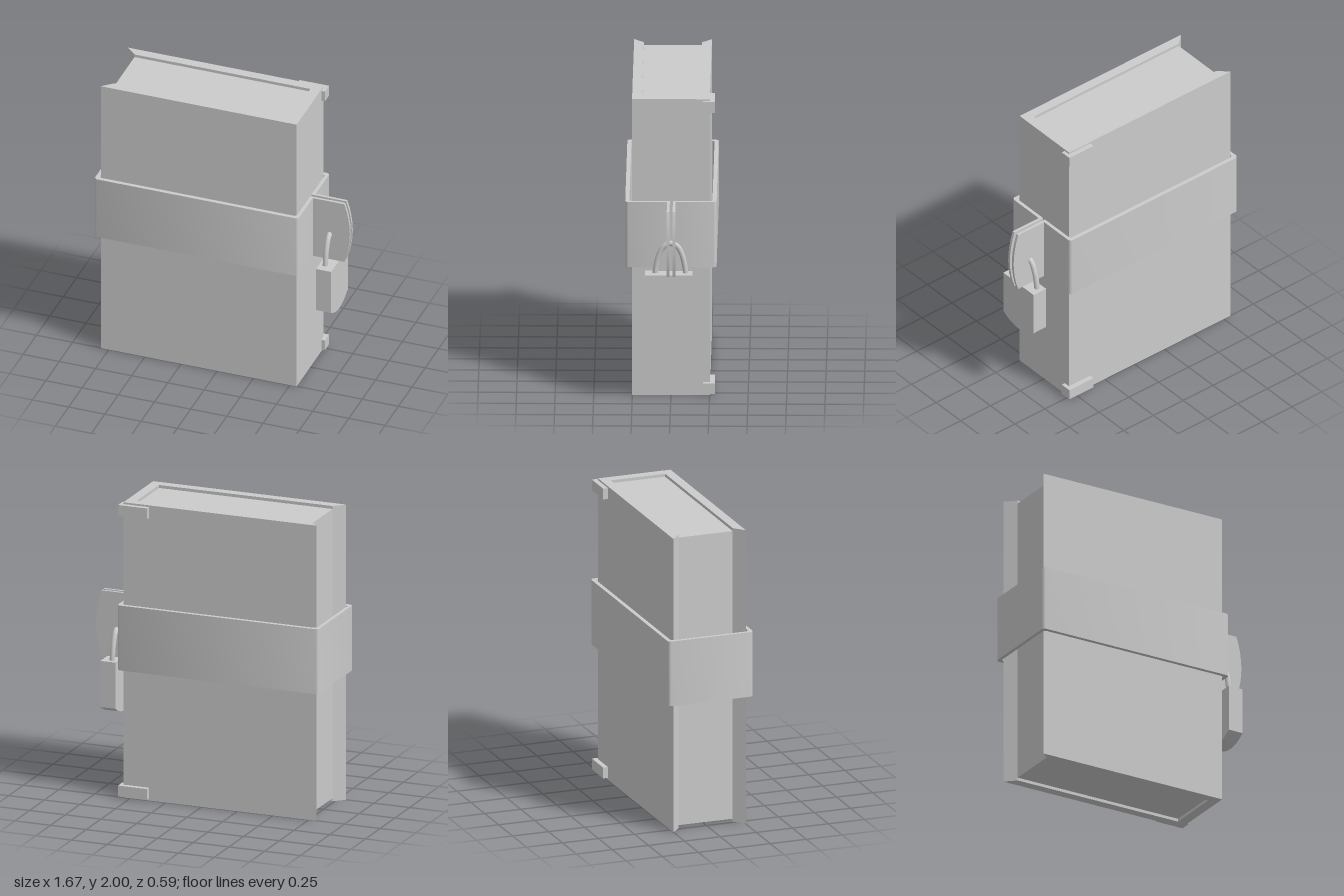
import * as THREE from 'three';
import { toCreasedNormals } from 'three/addons/utils/BufferGeometryUtils.js';

const grey = new THREE.MeshStandardMaterial({ color: 0xcccccc });

export function createModel() {
  const model = new THREE.Group();

  function add(name, geometry, x = 0, y = 0, z = 0) {
    const mesh = new THREE.Mesh(geometry, grey);
    mesh.name = name;
    mesh.position.set(x, y, z);
    model.add(mesh);
    return mesh;
  }
  const extrude = (shape, depth) => toCreasedNormals(
    new THREE.ExtrudeGeometry(shape, { depth, bevelEnabled: false, curveSegments: 8 }), 0.5);
  // Plan outline in (x, -z), raised along y
  const raise = (shape, height) => extrude(shape, height).rotateX(-Math.PI / 2);
  const outline = (points) => new THREE.Shape(points.map(([x, y]) => new THREE.Vector2(x, y)));

  // Book: C-shaped cover with bevelled fore edges, pages set in slightly
  add('cover', raise(outline([
    [-0.805, -0.252], [0.548, -0.252], [0.548, 0.252], [-0.805, 0.252],
    [-0.735, 0.188], [0.48, 0.188], [0.48, -0.188], [-0.735, -0.188],
  ]), 2));
  add('pages', new THREE.BoxGeometry(1.215, 1.96, 0.376), -0.1275, 1, 0);

  // Strap: rounded loop, open between the two hasp plates
  const strap = new THREE.Shape();
  const r = 0.025, x0 = -0.835, x1 = 0.575, z1 = 0.296;
  strap.moveTo(x1, 0.03);
  strap.lineTo(x1, z1 - r);
  strap.absarc(x1 - r, z1 - r, r, 0, Math.PI / 2);
  strap.absarc(x0 + r, z1 - r, r, Math.PI / 2, Math.PI);
  strap.absarc(x0 + r, -z1 + r, r, Math.PI, Math.PI * 1.5);
  strap.absarc(x1 - r, -z1 + r, r, Math.PI * 1.5, Math.PI * 2);
  strap.lineTo(x1, -0.025);
  strap.lineTo(0.552, -0.025);
  // Inner face with small corner chamfers
  for (const [x, y] of [
    [0.552, -0.255], [0.54, -0.269], [-0.795, -0.269], [-0.811, -0.255],
    [-0.811, 0.255], [-0.795, 0.269], [0.54, 0.269], [0.552, 0.255], [0.552, 0.03],
  ]) strap.lineTo(x, y);
  add('strap', raise(strap, 0.44), 0, 0.872, 0);

  // Hasp plates with a bowed outer edge
  const plate = new THREE.Shape();
  plate.moveTo(0.553, 0.872);
  plate.lineTo(0.793, 0.872);
  plate.quadraticCurveTo(0.869, 1.092, 0.793, 1.312);
  plate.lineTo(0.553, 1.312);
  for (const z of [-0.031, 0.007]) add('haspPlate', extrude(plate, 0.018), 0, 0, z);

  // Padlock: body with a curved underside, drawn in (-z, y) and turned to face +x
  const body = new THREE.Shape();
  body.moveTo(-0.167, 0.87);
  body.lineTo(-0.167, 0.557);
  body.quadraticCurveTo(-0.012, 0.453, 0.142, 0.557);
  body.lineTo(0.142, 0.87);
  add('padlockBody', extrude(body, 0.105).rotateY(Math.PI / 2), 0.65, 0, 0);

  const arch = [
    [0.102, 0.85], [0.096, 0.91], [0.078, 0.985], [0.045, 1.046], [0, 1.068],
    [-0.045, 1.046], [-0.075, 0.985], [-0.092, 0.91], [-0.098, 0.85],
  ].map(([z, y]) => new THREE.Vector3(0.69, y, z));
  add('shackle', new THREE.TubeGeometry(new THREE.CatmullRomCurve3(arch), 32, 0.018, 10));

  // Corner clips wrapping the back spine edge, top and bottom
  const clip = outline([
    [0.37, 0.285], [0.573, 0.285], [0.573, 0.207],
    [0.546, 0.207], [0.546, 0.25], [0.37, 0.25],
  ].reverse());
  for (const y of [0.013, 1.914]) add('cornerClip', raise(clip, 0.074), 0, y, 0);

  return model;
}
